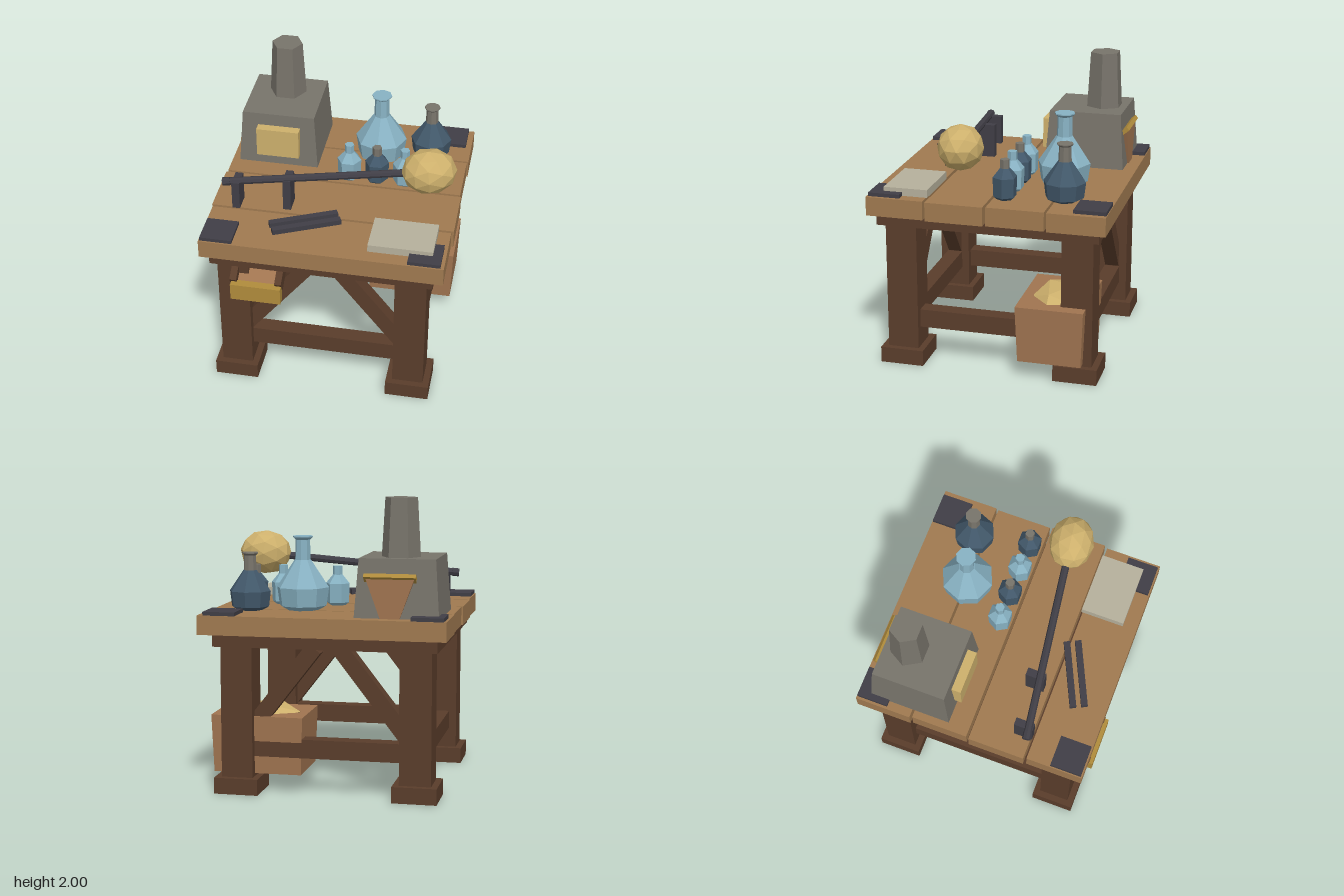
import * as THREE from 'three';

const paint = (name, color) => {
  const m = new THREE.MeshStandardMaterial({ color });
  m.name = name;
  return m;
};

// Give every facet its own normal for the low-poly look
const facet = (g) => {
  const f = g.index ? g.toNonIndexed() : g;
  f.computeVertexNormals();
  return f;
};

// Box whose top and bottom have different widths and depths
function taperBox(bw, bd, tw, td, h) {
  const g = new THREE.BoxGeometry(1, h, 1);
  const p = g.attributes.position;
  for (let i = 0; i < p.count; i++) {
    const top = p.getY(i) > 0;
    p.setX(i, p.getX(i) * (top ? tw : bw));
    p.setZ(i, p.getZ(i) * (top ? td : bd));
  }
  return g;
}

export function createModel() {
  const root = new THREE.Group();
  root.name = 'workbench';

  const darkWood = paint('dark wood', 0x5a3d2b);
  const plankWood = paint('plank wood', 0xa07a50);
  const crateWood = paint('crate wood', 0xa07450);
  const stone = paint('stone', 0x78746b);
  const iron = paint('iron', 0x403e46);
  const paleGold = paint('pale gold', 0xcdb06c);
  const gold = paint('gold', 0xb08c3c);
  const lightGlass = paint('light glass', 0x88b2c3);
  const darkGlass = paint('dark glass', 0x42586a);
  const parchment = paint('parchment', 0xb6b09c);

  const add = (name, geo, mat, x, y, z) => {
    const m = new THREE.Mesh(facet(geo), mat);
    m.name = name;
    m.position.set(x, y, z);
    root.add(m);
    return m;
  };
  // Box given by its minimum and maximum along each axis
  const block = (name, mat, x0, x1, y0, y1, z0, z1) =>
    add(name, new THREE.BoxGeometry(x1 - x0, y1 - y0, z1 - z0), mat,
      (x0 + x1) / 2, (y0 + y1) / 2, (z0 + z1) / 2);
  // Geometry lying along x, turned to run from a to b
  const along = (name, mat, a, b, make) => {
    const va = new THREE.Vector3(...a), d = new THREE.Vector3(...b).sub(va);
    const c = va.clone().addScaledVector(d, 0.5);
    const m = add(name, make(d.length()), mat, c.x, c.y, c.z);
    m.quaternion.setFromUnitVectors(new THREE.Vector3(1, 0, 0), d.normalize());
    return m;
  };

  // Legs, feet
  const legX = [-0.622, 0.592], legZ = [-0.613, 0.603];
  for (const x of legX) for (const z of legZ) {
    add('leg', new THREE.BoxGeometry(0.215, 0.92, 0.215), darkWood, x, 0.55, z);
    add('foot', new THREE.BoxGeometry(0.302, 0.11, 0.302), darkWood, x, 0.055, z);
  }

  // Stretchers between the legs and diagonal braces at front and back
  for (const z of legZ) {
    block('stretcher', darkWood, -0.6, 0.57, 0.25, 0.378, z - 0.055, z + 0.055);
    for (const s of [-1, 1]) {
      along('brace', darkWood, [-0.015 + s * 0.585, 0.36, z], [-0.015 + s * 0.087, 1.0, z],
        (l) => new THREE.BoxGeometry(l, 0.11, 0.1));
    }
  }
  for (const x of legX) block('sideStretcher', darkWood, x - 0.055, x + 0.055, 0.25, 0.378, -0.6, 0.59);

  // Table top: underframe and four planks
  block('underframe', darkWood, -0.77, 0.743, 1.005, 1.09, -0.765, 0.758);
  [[-0.835, 0.83, -0.823, -0.432], [-0.826, 0.821, -0.415, -0.023],
    [-0.835, 0.829, -0.004, 0.39], [-0.826, 0.814, 0.411, 0.805]]
    .forEach(([x0, x1, z0, z1]) => block('plank', plankWood, x0, x1, 1.09, 1.22, z0, z1));

  // Corner plates
  for (const x of [-0.709, 0.682]) for (const z of [-0.71, 0.686]) {
    add('cornerPlate', new THREE.BoxGeometry(0.217, 0.026, 0.217), iron, x, 1.232, z);
  }

  // Furnace with chimney and door
  add('furnace', taperBox(0.563, 0.563, 0.508, 0.508, 0.39), stone, -0.493, 1.415, -0.45);
  add('chimney', new THREE.CylinderGeometry(0.108, 0.131, 0.4, 6), stone, -0.492, 1.8, -0.537)
    .rotation.y = Math.PI / 6;
  block('furnaceDoor', paleGold, -0.638, -0.338, 1.31, 1.522, -0.19, -0.125);

  // Bellows leaning on the back of the furnace
  add('bellows', taperBox(0.13, 0.05, 0.32, 0.05, 0.26), crateWood, -0.451, 1.35, -0.717);
  add('bellowsTrim', new THREE.BoxGeometry(0.345, 0.03, 0.06), gold, -0.451, 1.485, -0.727)
    .rotation.x = 0.7;

  // Sloping tray under the front edge
  const slope = 0.61;
  for (const x of [-0.603, -0.295]) {
    add('trayRail', new THREE.BoxGeometry(0.046, 0.1, 0.3), darkWood, x, 0.9625, 0.649).rotation.x = slope;
  }
  add('trayFloor', new THREE.BoxGeometry(0.27, 0.03, 0.3), crateWood, -0.449, 0.9445, 0.6365).rotation.x = slope;
  block('trayFront', gold, -0.618, -0.274, 0.77, 0.893, 0.765, 0.824);

  // Crate and its contents
  add('crate', taperBox(0.605, 0.435, 0.632, 0.465, 0.395), crateWood, 0.467, 0.3275, -0.442);
  const heap = new THREE.IcosahedronGeometry(1, 0);
  heap.rotateX(0.45);
  heap.rotateY(0.3);
  heap.scale(0.27, 0.085, 0.18);
  add('crateContents', heap, paleGold, 0.467, 0.51, -0.442);

  // Flasks: faceted lathe profiles, dark ones with a grey neck
  const flask = (name, x, z, sides, body, neck, bodyMat, neckMat) => {
    const start = sides === 6 ? Math.PI / 6 : 0;
    const lathe = (pts) => new THREE.LatheGeometry(pts.map((p) => new THREE.Vector2(...p)), sides, start);
    add(name + 'Body', lathe(body), bodyMat, x, 1.22, z);
    add(name + 'Neck', lathe(neck), neckMat, x, 1.22, z);
  };
  flask('largeFlask', 0.205, -0.407, 8,
    [[0, 0.005], [0.11, 0.005], [0.163, 0.035], [0.181, 0.16], [0.056, 0.345], [0, 0.345]],
    [[0.054, 0.345], [0.05, 0.48], [0.07, 0.497], [0.07, 0.505], [0, 0.505]], lightGlass, lightGlass);
  flask('mediumFlask', 0.552, -0.49, 8,
    [[0, 0.005], [0.085, 0.005], [0.13, 0.03], [0.143, 0.135], [0.046, 0.275], [0, 0.275]],
    [[0.045, 0.275], [0.041, 0.375], [0.056, 0.388], [0.056, 0.395], [0, 0.395]], darkGlass, stone);
  [0.03, 0.225, 0.42, 0.615].forEach((x, i) => {
    flask('smallFlask', x, -0.1, 6,
      [[0, 0.002], [0.055, 0.002], [0.079, 0.022], [0.084, 0.155], [0.034, 0.215], [0, 0.215]],
      [[0.033, 0.215], [0.033, 0.275], [0, 0.275]],
      i % 2 ? darkGlass : lightGlass, i % 2 ? stone : lightGlass);
  });

  // Long rod on two posts with a faceted ball at its end
  const rod = (r) => (l) => new THREE.CylinderGeometry(r, r, l, 8).rotateZ(Math.PI / 2);
  along('rod', iron, [-0.75, 1.417, 0.38], [0.52, 1.537, 0.208], rod(0.026));
  along('rodCap', iron, [-0.755, 1.416, 0.381], [-0.705, 1.421, 0.374], rod(0.029));
  block('post', iron, -0.69, -0.637, 1.22, 1.425, 0.27, 0.4);
  block('post', iron, -0.346, -0.292, 1.22, 1.455, 0.225, 0.355);
  const ball = add('ball', new THREE.IcosahedronGeometry(1, 1), paleGold, 0.624, 1.555, 0.198);
  ball.scale.set(0.187, 0.156, 0.156);
  ball.rotation.set(0, 0.13, 0.09);

  // Pair of iron bars
  for (const [dx, dz] of [[0, 0], [0.034, 0.07]]) {
    along('ironBar', iron, [-0.39 + dx, 1.258, 0.585 + dz], [0.037 + dx, 1.258, 0.387 + dz],
      (l) => new THREE.BoxGeometry(l, 0.036, 0.044));
  }

  // Slab of parchment
  block('parchment', parchment, 0.296, 0.73, 1.22, 1.273, 0.403, 0.706);

  return root;
}
